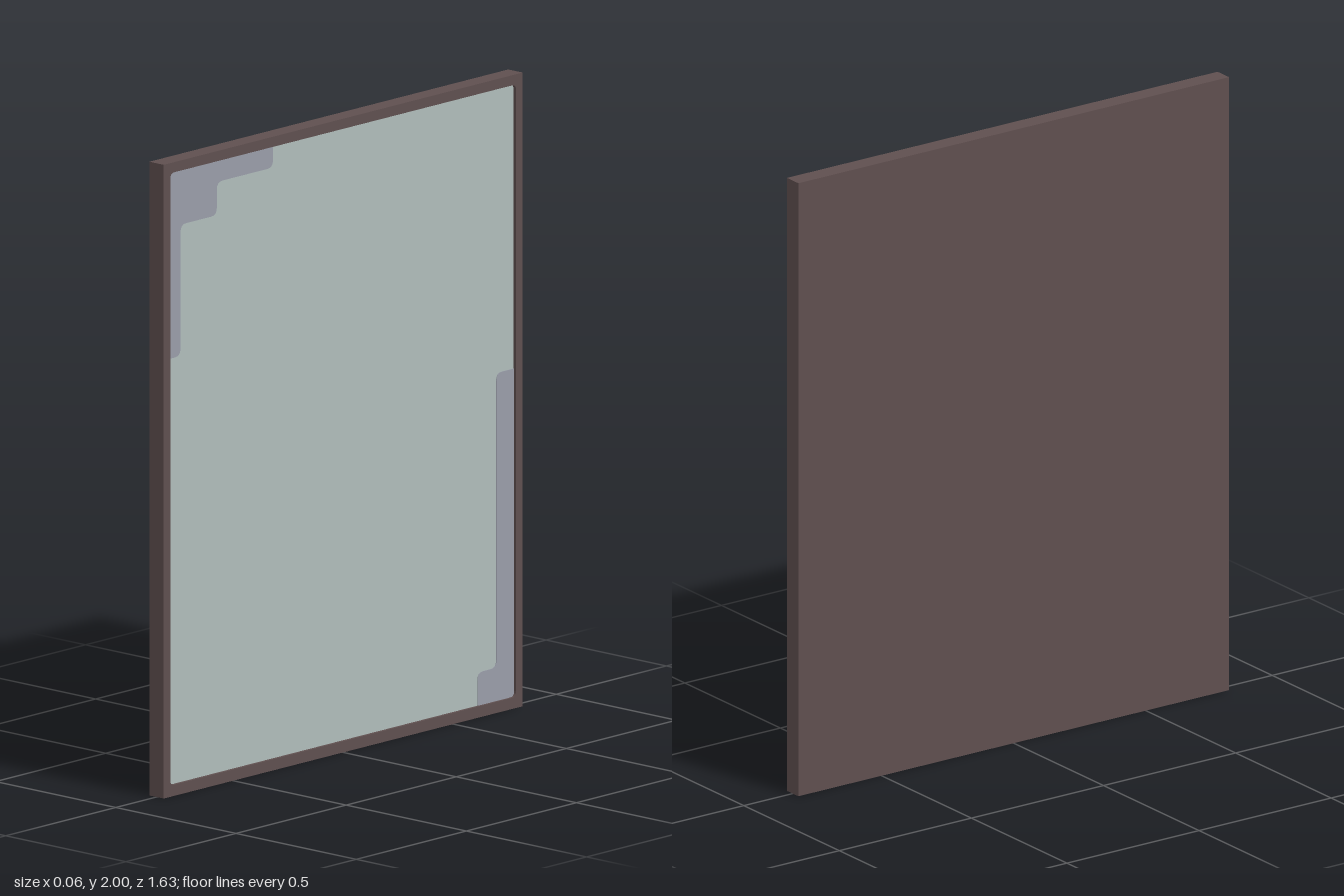
import * as THREE from 'three';

const HALF_W = 0.815, HEIGHT = 2, HALF_T = 0.03;
const IN_W = 0.785, IN_BOTTOM = 0.035, IN_TOP = 1.968;
const FACE_X = 0.02;

// Trace a polygon of [across, up, radius] corners with rounded corners.
function roundedPath(path, corners) {
  const n = corners.length;
  corners.forEach(([x, y, r = 0], i) => {
    const p = new THREE.Vector2(x, y);
    const toward = (c) => new THREE.Vector2(c[0], c[1]).sub(p).setLength(r).add(p);
    const a = r ? toward(corners[(i + n - 1) % n]) : p;
    if (i === 0) path.moveTo(a.x, a.y);
    else path.lineTo(a.x, a.y);
    if (r) {
      const b = toward(corners[(i + 1) % n]);
      path.quadraticCurveTo(x, y, b.x, b.y);
    }
  });
  path.closePath();
  return path;
}

// Corners of an upright rectangle.
const rect = (w, y0, y1, r) => [[-w, y0, r], [w, y0, r], [w, y1, r], [-w, y1, r]];

export function createModel() {
  const group = new THREE.Group();
  const brown = new THREE.MeshStandardMaterial({ name: 'dark brown frame', color: 0x5f4f4f });
  const glass = new THREE.MeshStandardMaterial({ name: 'pale grey green', color: 0xafbcba });
  const mauve = new THREE.MeshStandardMaterial({ name: 'mauve grey', color: 0x999da9 });

  // Shapes are drawn across and up, then turned so they face +x.
  function slab(name, shape, x0, x1, material) {
    const geometry = new THREE.ExtrudeGeometry(shape, { depth: x1 - x0, bevelEnabled: false, curveSegments: 4 });
    geometry.rotateY(Math.PI / 2).translate(x0, 0, 0);
    const mesh = new THREE.Mesh(geometry, material);
    mesh.name = name;
    group.add(mesh);
  }

  // Backing board and raised rim
  const outer = rect(HALF_W, 0, HEIGHT, 0);
  slab('backing', roundedPath(new THREE.Shape(), outer), -HALF_T, 0.015, brown);
  const rim = roundedPath(new THREE.Shape(), outer);
  rim.holes.push(roundedPath(new THREE.Path(), rect(IN_W, IN_BOTTOM, IN_TOP, 0.018)));
  slab('rim', rim, 0.015, HALF_T, brown);

  // Recessed mirror face
  const face = roundedPath(new THREE.Shape(), rect(IN_W, IN_BOTTOM, IN_TOP, 0.018));
  slab('mirrorFace', face, 0.015, FACE_X, glass);

  // Stepped tarnish in two opposite corners
  const r = 0.025;
  const upper = [
    [-IN_W, IN_TOP, 0.018], [-IN_W, 1.38], [-0.73, 1.38, r], [-0.73, 1.795, r],
    [-0.565, 1.795, r], [-0.565, 1.9, r], [-0.31, 1.9, r], [-0.31, IN_TOP],
  ];
  const lower = [
    [IN_W, IN_BOTTOM, 0.018], [IN_W, 1.07], [0.705, 1.07, r], [0.705, 0.14, r],
    [0.62, 0.14, r], [0.62, IN_BOTTOM],
  ];
  slab('upperTarnish', roundedPath(new THREE.Shape(), upper), FACE_X, FACE_X + 0.002, mauve);
  slab('lowerTarnish', roundedPath(new THREE.Shape(), lower), FACE_X, FACE_X + 0.002, mauve);

  return group;
}
